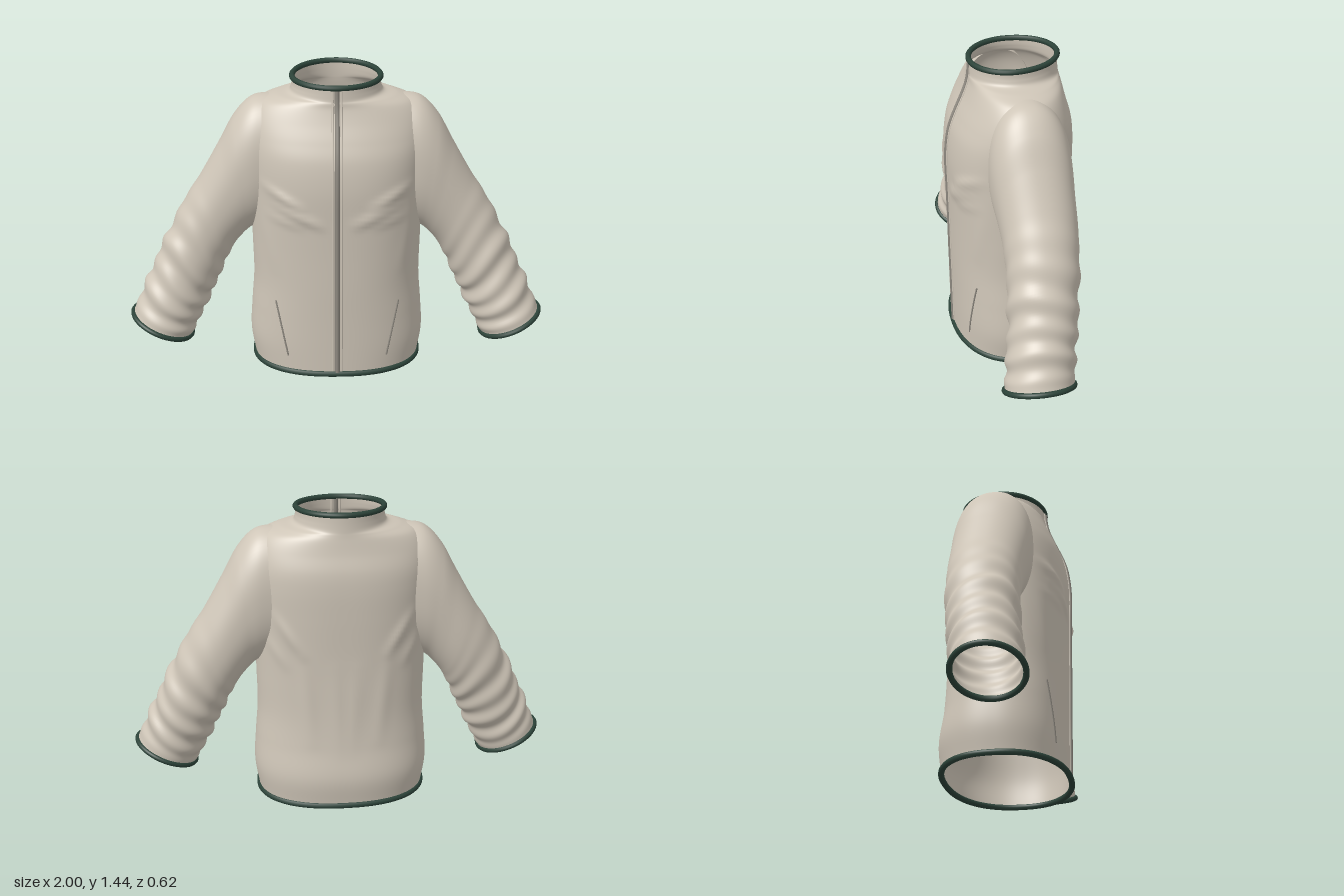
import * as THREE from 'three';

const TAU = Math.PI * 2;
const spow = (v, p) => Math.sign(v) * Math.pow(Math.abs(v), p);

// Uniform spline through rows of numbers, t in 0..1
function rowSpline(rows) {
  const pick = (i) => new THREE.CatmullRomCurve3(
    rows.map((r) => new THREE.Vector3(r[i], r[i + 1], r[i + 2])), false, 'catmullrom', 0.5);
  const a = pick(0), b = pick(3);
  return (t) => [...a.getPoint(t).toArray(), ...b.getPoint(t).toArray()];
}

// Open-ended skin through closed rings
function loft(nu, nv, f) {
  const pos = [], idx = [];
  for (let i = 0; i <= nu; i++)
    for (let j = 0; j < nv; j++) pos.push(...f(i / nu, (j / nv) * TAU).toArray());
  for (let i = 0; i < nu; i++)
    for (let j = 0; j < nv; j++) {
      const k = (j + 1) % nv, a = i * nv + j, b = i * nv + k, c = a + nv, d = b + nv;
      idx.push(a, b, c, b, d, c);
    }
  const g = new THREE.BufferGeometry();
  g.setAttribute('position', new THREE.Float32BufferAttribute(pos, 3));
  g.setIndex(idx);
  g.computeVertexNormals();
  return g;
}

// Height of a soft cloth fold running along a segment
function fold(x, y, [x0, y0, x1, y1, width, height]) {
  const dx = x1 - x0, dy = y1 - y0;
  const t = THREE.MathUtils.clamp(((x - x0) * dx + (y - y0) * dy) / (dx * dx + dy * dy), 0, 1);
  const d = Math.hypot(x - x0 - dx * t, y - y0 - dy * t);
  return height * Math.exp(-((d / width) ** 2)) * (0.35 + 0.65 * Math.sin(Math.PI * t));
}

// Torso rows: half width, y, front z, back z, squareness, collar slope
const torso = rowSpline([
  [0.40, 0.015, 0.288, -0.292, 2.3, 0], [0.42, 0.15, 0.29, -0.305, 2.3, 0],
  [0.412, 0.30, 0.292, -0.283, 2.3, 0], [0.40, 0.45, 0.295, -0.27, 2.3, 0],
  [0.402, 0.62, 0.297, -0.265, 2.35, 0], [0.405, 0.78, 0.30, -0.265, 2.4, 0],
  [0.41, 0.95, 0.303, -0.268, 2.4, 0], [0.415, 1.08, 0.288, -0.268, 2.4, 0],
  [0.415, 1.17, 0.257, -0.26, 2.35, 0], [0.40, 1.25, 0.222, -0.238, 2.25, 0],
  [0.36, 1.31, 0.20, -0.225, 2.1, 0], [0.29, 1.338, 0.195, -0.22, 2, 0],
  [0.225, 1.352, 0.192, -0.218, 2, 0.01], [0.208, 1.38, 0.19, -0.216, 2, 0.03],
  [0.204, 1.42, 0.188, -0.215, 2, 0.05],
]);
const frontFolds = [
  [0.08, 0.79, 0.28, 0.87, 0.022, 0.014], [0.16, 0.87, 0.34, 0.96, 0.022, 0.016],
  [0.17, 0.78, 0.32, 0.82, 0.02, 0.008], [0.3, 0.55, 0.36, 0.85, 0.03, 0.006],
];
const backFolds = [
  [0.2, 0.78, 0.32, 0.96, 0.025, 0.014], [0.28, 0.72, 0.37, 0.86, 0.025, 0.01],
  [0.16, 0.35, 0.2, 0.75, 0.035, 0.007], [0.02, 0.3, 0.05, 0.7, 0.04, 0.005],
];
function torsoPoint(t, a) {
  const [w, y, zf, zb, n, slope] = torso(t);
  const x = w * spow(Math.sin(a), 2 / n), c = Math.cos(a);
  let z = Math.abs(spow(c, 2 / n)) * (c > 0 ? zf : zb);
  const lift = (c > 0 ? frontFolds : backFolds).reduce((s, f) => s + fold(Math.abs(x), y, f), 0);
  z += c * lift;
  return new THREE.Vector3(x, y - slope * z, z);
}
// Point on the chest surface at a given x and y
function chestPoint(x, y) {
  let lo = 0, hi = 1;
  for (let i = 0; i < 30; i++) {
    const m = (lo + hi) / 2, r = torso(m);
    if (r[1] - r[5] * r[2] < y) lo = m; else hi = m;
  }
  const r = torso(lo);
  const a = Math.asin(spow(x / r[0], r[4] / 2));
  return torsoPoint(lo, a);
}

// Sleeve rows: top x, top y, bottom x, bottom y, front z, back z
const sleeve = rowSpline([
  [0.28, 1.335, 0.34, 0.72, 0.175, -0.185], [0.39, 1.318, 0.385, 0.695, 0.18, -0.19],
  [0.475, 1.235, 0.415, 0.675, 0.175, -0.187], [0.55, 1.10, 0.445, 0.645, 0.165, -0.183],
  [0.635, 0.95, 0.485, 0.595, 0.157, -0.18], [0.73, 0.80, 0.53, 0.51, 0.158, -0.168],
  [0.815, 0.64, 0.575, 0.41, 0.167, -0.15], [0.88, 0.50, 0.62, 0.315, 0.18, -0.132],
  [0.935, 0.38, 0.665, 0.22, 0.2, -0.112], [0.99, 0.255, 0.712, 0.13, 0.215, -0.095],
]);
function sleevePoint(t, a, side) {
  const [tx, ty, bx, by, zf, zb] = sleeve(t);
  // Gathered creases around the forearm, slanting and fading at the cuff
  const amount = THREE.MathUtils.smoothstep(t, 0.42, 0.7) * (1 - THREE.MathUtils.smoothstep(t, 0.93, 1));
  const phase = t * 66 + 1.3 * Math.sin(a + 0.6) + 0.8 * Math.sin(2 * a + t * 9);
  const k = 1 + amount * (0.04 * Math.sin(phase) + 0.018 * Math.sin(phase * 0.57 + a));
  const n = 2 / (2 + 0.3 * (1 - t));
  const c = spow(Math.cos(a), n) * k / 2, s = spow(Math.sin(a), n) * k;
  return new THREE.Vector3(
    side * ((tx + bx) / 2 + (tx - bx) * c),
    (ty + by) / 2 + (ty - by) * c,
    (zf + zb) / 2 + ((zf - zb) / 2) * s);
}

export function createModel() {
  const cloth = new THREE.MeshStandardMaterial({ color: 0xcfc6b8, side: THREE.DoubleSide });
  cloth.name = 'beige cloth';
  const trim = new THREE.MeshStandardMaterial({ color: 0x2c4339 });
  trim.name = 'dark green trim';
  const zip = new THREE.MeshStandardMaterial({ color: 0x8f8a81 });
  zip.name = 'grey zip';

  const group = new THREE.Group();
  group.name = 'jacket';
  const add = (name, geometry, material) => {
    const mesh = new THREE.Mesh(geometry, material);
    mesh.name = name;
    group.add(mesh);
    return mesh;
  };
  // Rolled edging around an opening
  const binding = (name, ringPoint, radius) => {
    const pts = [];
    for (let i = 0; i < 48; i++) pts.push(ringPoint((i / 48) * TAU));
    const path = new THREE.CatmullRomCurve3(pts, true);
    add(name, new THREE.TubeGeometry(path, 120, radius, 10, true), trim);
  };
  const strip = (name, pts, radius, material) =>
    add(name, new THREE.TubeGeometry(new THREE.CatmullRomCurve3(pts), 80, radius, 8), material);

  // Body with collar
  add('body', loft(120, 168, torsoPoint), cloth);
  binding('hemBinding', (a) => torsoPoint(0, a), 0.014);
  binding('collarBinding', (a) => torsoPoint(1, a), 0.013);

  // Sleeves and cuffs
  for (const [label, side] of [['left', 1], ['right', -1]]) {
    add(label + 'Sleeve', loft(130, 72, (t, a) => sleevePoint(t, -a * side, side)), cloth);
    binding(label + 'CuffBinding', (a) => sleevePoint(1, a, side), 0.013);

    // Slanted pocket seam
    const pocket = [];
    for (let i = 0; i <= 8; i++) pocket.push(chestPoint(side * (0.235 + 0.055 * i / 8), 0.1 + 0.28 * i / 8));
    strip(label + 'PocketSeam', pocket, 0.0045, zip);

    // Stitched ridge beside the zip
    const ridge = [];
    for (let i = 0; i <= 30; i++) ridge.push(chestPoint(side * 0.02, 0.03 + 1.37 * i / 30));
    strip(label + 'ZipPlacket', ridge, 0.005, cloth);
  }

  // Front zip
  const line = [];
  for (let i = 0; i <= 30; i++) line.push(chestPoint(0, 0.025 + 1.375 * i / 30));
  strip('frontZip', line, 0.011, zip);

  return group;
}
